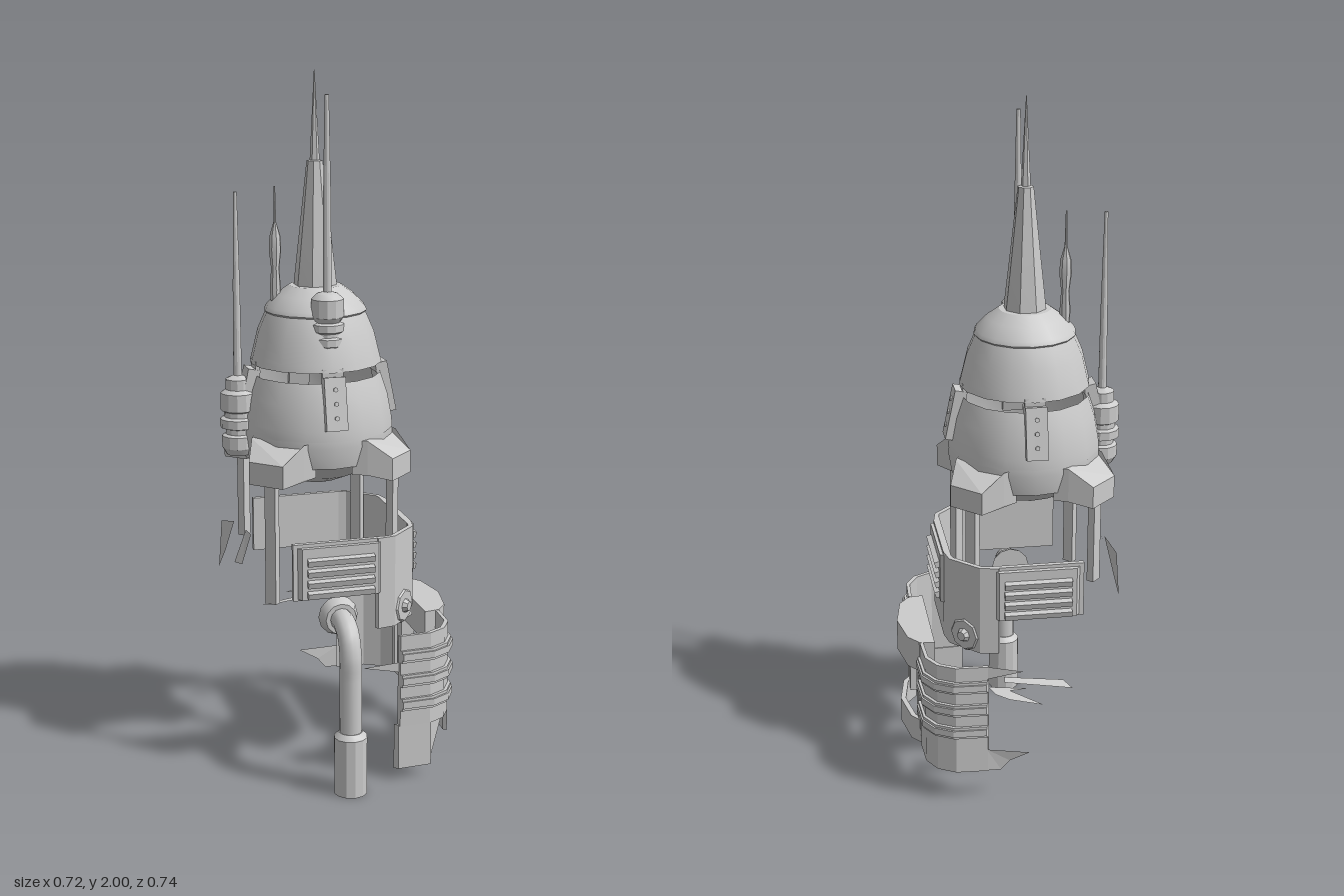
import * as THREE from 'three';
import { toCreasedNormals } from 'three/addons/utils/BufferGeometryUtils.js';

const MAT = new THREE.MeshStandardMaterial({ color: 0xcccccc, side: THREE.DoubleSide });
const V = (x, y, z) => new THREE.Vector3(x, y, z);

function add(parent, name, geo, x = 0, y = 0, z = 0) {
  const m = new THREE.Mesh(geo, MAT);
  m.name = name;
  m.position.set(x, y, z);
  parent.add(m);
  return m;
}
const crease = (geo, a = 0.6) => toCreasedNormals(geo, a);
const box = (w, h, d) => new THREE.BoxGeometry(w, h, d);
const cyl = (rt, rb, h, n = 12) => crease(new THREE.CylinderGeometry(rt, rb, h, n));
const lathe = (pts, n = 16) =>
  crease(new THREE.LatheGeometry(pts.map(p => new THREE.Vector2(p[0], p[1])), n), 0.5);

// Vertical prism over an (x, z) outline
function prism(pts, y0, y1) {
  const shape = new THREE.Shape(pts.map(p => new THREE.Vector2(p[0], -p[1])));
  return new THREE.ExtrudeGeometry(shape, { depth: y1 - y0, bevelEnabled: false })
    .rotateX(-Math.PI / 2).translate(0, y0, 0);
}
// Upright wall following an (x, z) line, thickened towards the axis
function wall(pts, y0, y1, outer = 1, inner = 0.95) {
  const scaled = k => pts.map(p => [p[0] * k, p[1] * k]);
  return prism([...scaled(outer), ...scaled(inner).reverse()], y0, y1);
}
// Thin torn plate through a ring of corners
function sheet(corners) {
  const geo = new THREE.BufferGeometry().setFromPoints(corners.map(c => V(...c)));
  const idx = [];
  for (let i = 1; i < corners.length - 1; i++) idx.push(0, i, i + 1);
  geo.setIndex(idx);
  const flat = geo.toNonIndexed();
  flat.computeVertexNormals();
  return flat;
}
// Group turned about the tower axis; its local +z points outward
function side(parent, name, degrees) {
  const g = new THREE.Group();
  g.name = name;
  g.rotation.y = THREE.MathUtils.degToRad(degrees);
  parent.add(g);
  return g;
}

export function createModel() {
  const model = new THREE.Group();
  const tower = new THREE.Group();
  tower.name = 'tower';
  tower.position.set(-0.075, 0, 0.065);
  model.add(tower);

  // Domes and collar
  add(tower, 'underBowl', lathe([[0, 0.83], [0.07, 0.835], [0.13, 0.86], [0.175, 0.9], [0.2, 0.91]]));
  add(tower, 'collar', lathe([[0.19, 0.905], [0.212, 0.91], [0.222, 0.97], [0.22, 1.0], [0.2, 1.0]]));
  add(tower, 'lowerDome', lathe([[0.222, 0.99], [0.22, 1.02], [0.207, 1.09], [0.187, 1.15]]));
  add(tower, 'upperDome', lathe([[0.19, 1.18], [0.185, 1.2], [0.168, 1.27], [0.144, 1.325],
    [0.148, 1.33], [0.142, 1.342], [0.11, 1.375], [0.075, 1.4], [0, 1.402]]));

  // Spire: bevelled mast with a needle
  const mast = lathe([[0.063, 1.38], [0.061, 1.41], [0.044, 1.56], [0.023, 1.75], [0, 1.755]], 8);
  add(tower, 'spire', mast.rotateY(Math.PI / 8));
  add(tower, 'spireNeedle', cyl(0.001, 0.014, 0.25, 6), 0, 1.875, 0);

  // Corner brackets with support columns
  for (let i = 0; i < 4; i++) {
    const g = side(tower, 'cornerBracket', i * 90);
    const geo = prism([[-0.1, 0.175], [0.1, 0.175], [0.085, 0.215], [0.055, 0.28], [-0.055, 0.28], [-0.085, 0.215]], 0.885, 0.985);
    const p = geo.attributes.position;
    for (let k = 0; k < p.count; k++) {
      if (p.getZ(k) > 0.25) p.setY(k, p.getY(k) > 0.93 ? 0.935 : 0.87);
    }
    geo.computeVertexNormals();
    add(g, 'bracket', geo);
    const foot = i === 3 ? 0.62 : 0.52;
    add(g, 'supportColumn', box(0.034, 0.89 - foot, 0.022), 0, (0.89 + foot) / 2, 0.25);
  }

  // Riveted clamps on the lower dome and tabs bridging the gap
  for (let i = 0; i < 4; i++) {
    const g = side(tower, 'domeClamp', 45 + i * 90);
    const c = add(g, 'clamp', box(0.062, 0.15, 0.036), 0, 1.095, 0.202);
    c.rotation.x = -0.2;
    for (const y of [-0.04, 0, 0.04]) {
      const rivet = cyl(0.007, 0.007, 0.006, 6).rotateX(Math.PI / 2);
      add(c, 'rivet', rivet, 0, y, 0.02);
    }
    add(g, 'gapTab', box(0.06, 0.05, 0.012), 0, 1.165, 0.178);
  }

  // Antennas
  add(tower, 'frontAntenna', lathe([[0, 1.17], [0.028, 1.175], [0.038, 1.24], [0.047, 1.25], [0.047, 1.27],
    [0.039, 1.275], [0.039, 1.285], [0.047, 1.29], [0.047, 1.31], [0.036, 1.315], [0.046, 1.33],
    [0.046, 1.38], [0.03, 1.395], [0.012, 1.4], [0.011, 1.65], [0.006, 1.94], [0, 1.94]], 12), 0.091, 0, 0.091);
  add(tower, 'sideAntenna', lathe([[0, 0.915], [0.035, 0.92], [0.047, 0.94], [0.047, 0.975], [0.036, 0.98],
    [0.036, 0.995], [0.052, 1.0], [0.052, 1.025], [0.04, 1.03], [0.04, 1.045], [0.05, 1.05],
    [0.05, 1.1], [0.035, 1.11], [0.035, 1.14], [0.012, 1.15], [0.01, 1.4], [0.005, 1.67], [0, 1.67]], 12), -0.162, 0, 0.163);
  const arm = side(tower, 'antennaArm', -45);
  add(arm, 'arm', box(0.05, 0.07, 0.07), 0, 1.01, 0.2);
  add(tower, 'smallAntenna', lathe([[0.012, 1.33], [0.016, 1.39], [0.012, 1.45], [0.018, 1.5], [0.016, 1.54],
    [0.004, 1.58], [0.002, 1.68]], 8), -0.09, 0, 0.07);

  // Surviving drum wall under the dome
  add(tower, 'drumWall', wall([[0.26, 0.1], [0.29, 0.055], [0.29, -0.055], [0.26, -0.1], [0.1, -0.26],
    [0.055, -0.29], [-0.055, -0.29], [-0.1, -0.26]], 0.44, 0.71));

  // Louvred panels on three diagonals
  for (const a of [45, 135, 225]) {
    const g = side(tower, 'louvrePanel', a);
    add(g, 'backing', prism([[-0.135, 0.235], [0.135, 0.235], [0.135, 0.25], [-0.135, 0.25]], 0.545, 0.71));
    add(g, 'plate', prism([[-0.122, 0.25], [0.122, 0.25], [0.112, 0.264], [-0.112, 0.264]], 0.55, 0.7));
    for (let i = 0; i < 4; i++) {
      const s = add(g, 'slat', box(0.195, 0.018, 0.02), 0, 0.565 + i * 0.032, 0.267);
      s.rotation.x = 0.3;
    }
  }
  // Torn remains of the fourth panel
  const torn = side(tower, 'tornPanel', -45);
  add(torn, 'shard', sheet([[0.035, 0.7, 0.22], [0.12, 0.71, 0.225], [0.135, 0.63, 0.255], [0.08, 0.62, 0.265]]));
  add(torn, 'shard', sheet([[-0.135, 0.68, 0.255], [-0.054, 0.7, 0.235], [-0.09, 0.6, 0.255], [-0.135, 0.54, 0.265]]));

  // Round hubs on the drum
  for (const a of [90, 180]) {
    const g = side(tower, 'hub', a);
    add(g, 'hubPlate', cyl(0.045, 0.056, 0.014, 8).rotateX(Math.PI / 2), 0, 0.485, 0.288);
    add(g, 'hubBolt', cyl(0.014, 0.022, 0.015, 8).rotateX(Math.PI / 2), 0, 0.485, 0.301);
  }

  // Drain pipe
  const pipe = side(tower, 'drainPipe', 45);
  add(pipe, 'flange', cyl(0.045, 0.058, 0.035).rotateX(Math.PI / 2), 0, 0.485, 0.25);
  const path = new THREE.CatmullRomCurve3([V(0, 0.485, 0.25), V(0, 0.483, 0.3), V(0, 0.46, 0.34),
    V(0, 0.41, 0.36), V(0, 0.34, 0.361), V(0, 0.15, 0.361)]);
  add(pipe, 'pipe', new THREE.TubeGeometry(path, 24, 0.032, 12));
  add(pipe, 'nozzle', lathe([[0.035, 0.0], [0.048, 0.0], [0.048, 0.17], [0.034, 0.185], [0.03, 0.185]], 12), 0, 0, 0.361);

  // Banded corners of the base
  const corner = [[-0.128, 0.357], [-0.058, 0.421], [0, 0.437], [0.058, 0.421], [0.128, 0.357]];
  for (const a of [90, 180]) {
    const g = side(tower, 'baseCorner', a);
    add(g, 'cornerWall', wall(corner, 0.165, 0.44, 0.965, 0.935));
    for (const y of [0.215, 0.287, 0.36]) {
      add(g, 'band', wall(corner, y, y + 0.036, 0.987, 0.95));
      add(g, 'bandRidge', wall(corner, y + 0.008, y + 0.028, 1, 0.95));
    }
    add(g, 'cornerSkirt', wall(a === 90 ? corner.slice(3) : corner, 0.1, 0.175, 0.965, 0.935));
  }
  const fin = side(tower, 'skirtFin', 90);
  add(fin, 'fin', prism([[-0.125, 0.325], [-0.05, 0.392], [-0.05, 0.407], [-0.125, 0.34]], 0.035, 0.17));
  add(fin, 'finEdge', sheet([[-0.05, 0.035, 0.4], [0, 0.17, 0.415], [-0.05, 0.17, 0.4]]));

  // Bulged shoulder, posts and skirt on the back diagonal
  const bulge = [[-0.158, 0.287], [-0.15, 0.332], [-0.112, 0.362], [0, 0.382], [0.112, 0.362], [0.15, 0.332], [0.158, 0.287]];
  const diag = side(tower, 'baseDiagonal', 135);
  add(diag, 'shoulder', prism(bulge, 0.345, 0.44));
  for (const s of [-1, 1]) {
    add(diag, 'post', box(0.04, 0.2, 0.04), s * 0.11, 0.25, 0.315);
    add(diag, 'sidePost', box(0.025, 0.2, 0.045), s * 0.15, 0.25, 0.31);
  }
  add(diag, 'skirt', wall(bulge.slice(1, -1), 0.1, 0.175, 0.98, 0.94));

  // Torn plates where the base is broken away
  const shards = [
    [[-0.17, 0.36, -0.3], [-0.276, 0.342, -0.283], [-0.205, 0.365, -0.35], [-0.16, 0.37, -0.357], [-0.117, 0.37, -0.335]],
    [[-0.17, 0.36, -0.3], [-0.117, 0.37, -0.335], [-0.19, 0.345, -0.235]],
    [[-0.285, 0.34, -0.15], [-0.245, 0.35, -0.14], [-0.12, 0.37, -0.26], [-0.14, 0.37, -0.285]],
    [[-0.12, 0.44, -0.345], [-0.21, 0.43, -0.29], [-0.12, 0.4, -0.345]],
    [[-0.12, 0.17, -0.345], [-0.22, 0.16, -0.27], [-0.17, 0.13, -0.3], [-0.15, 0.1, -0.315], [-0.12, 0.1, -0.345]],
    [[0.34, 0.36, 0.12], [0.26, 0.35, 0.19], [0.34, 0.33, 0.12]],
  ];
  for (const s of shards) add(tower, 'tornPlate', sheet(s));

  return model;
}
